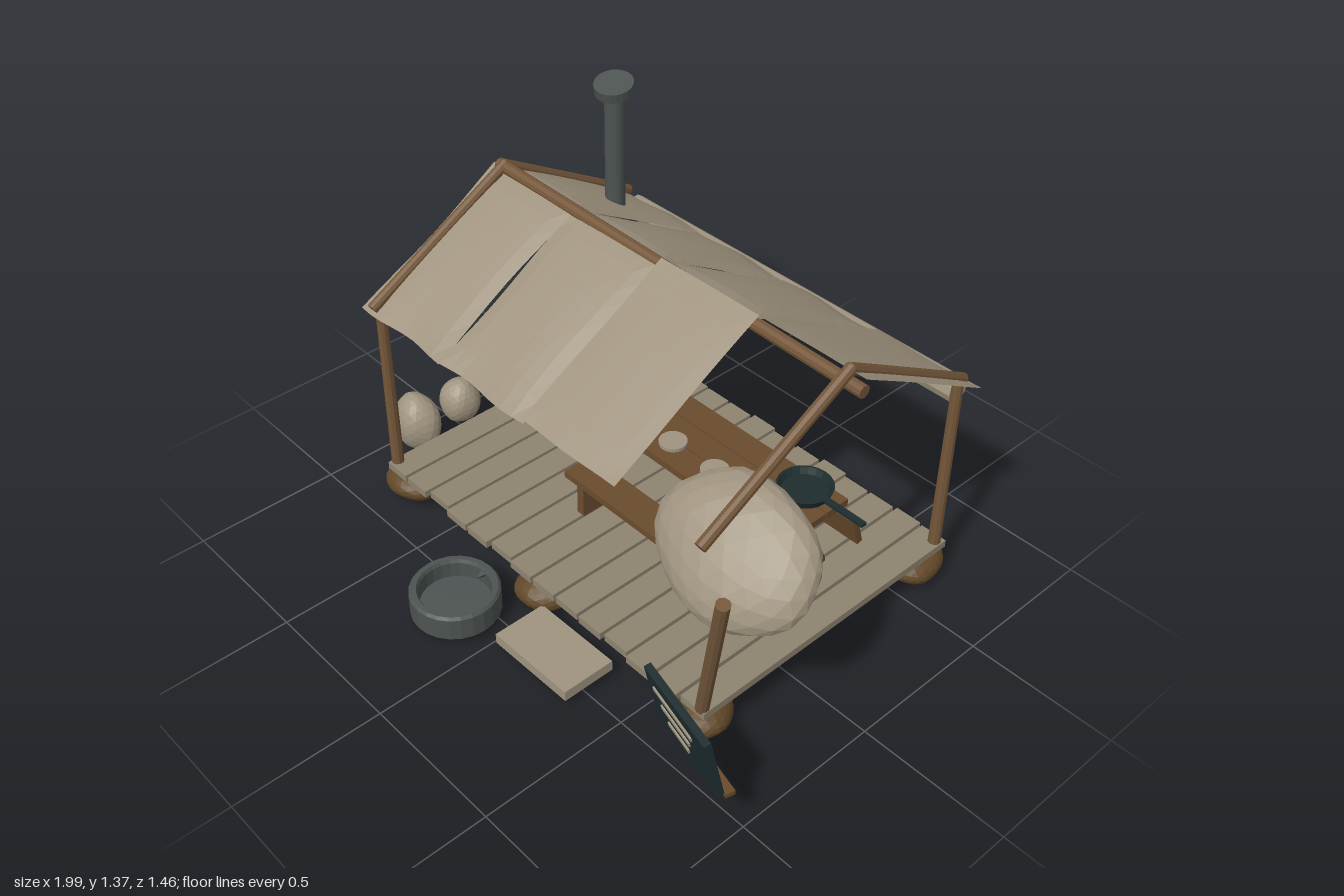
import * as THREE from 'three';

const mat = (name, color, side = THREE.FrontSide) => {
  const m = new THREE.MeshStandardMaterial({ color, side, flatShading: true });
  m.name = name;
  return m;
};

export function createModel() {
  const root = new THREE.Group();
  root.name = 'shelter';
  const canvas = mat('canvas', 0xa09480, THREE.DoubleSide);
  const plankWood = mat('weatheredPlank', 0x8f8471);
  const logWood = mat('logWood', 0x74573a);
  const boardWood = mat('boardWood', 0x6a4c2e);
  const stone = mat('brownStone', 0x614828);
  const steel = mat('steel', 0x4d5452);
  const iron = mat('darkIron', 0x1e2d2f);

  const add = (name, geo, material, pos = [0, 0, 0], rot = [0, 0, 0], parent = root) => {
    const m = new THREE.Mesh(geo, material);
    m.name = name;
    m.position.set(...pos);
    m.rotation.set(...rot);
    parent.add(m);
    return m;
  };
  const box = (name, material, size, pos, rot, parent) =>
    add(name, new THREE.BoxGeometry(...size), material, pos, rot, parent);
  const disc = (name, material, r, h, pos, rot, parent) =>
    add(name, new THREE.CylinderGeometry(r, r, h, 20), material, pos, rot, parent);

  // Round pole between two points
  const pole = (name, a, b, r, material = logWood, r2 = r) => {
    const p = new THREE.Vector3(...a), q = new THREE.Vector3(...b);
    const d = q.clone().sub(p);
    const m = add(name, new THREE.CylinderGeometry(r2, r, d.length(), 10), material);
    m.position.copy(p).add(q).multiplyScalar(0.5);
    m.quaternion.setFromUnitVectors(new THREE.Vector3(0, 1, 0), d.normalize());
    return m;
  };

  // Lumpy faceted ellipsoid
  const lump = (name, material, radii, pos, rot, seed = 0, rough = 0.05) => {
    const g = new THREE.IcosahedronGeometry(1, 3);
    const p = g.attributes.position;
    for (let i = 0; i < p.count; i++) {
      const x = p.getX(i), y = p.getY(i), z = p.getZ(i);
      const k = 1 + rough * Math.sin(3 * x + seed) * Math.cos(4 * z + 2 * y + seed * 2);
      p.setXYZ(i, x * k * radii[0], y * k * radii[1], z * k * radii[2]);
    }
    g.computeVertexNormals();
    return add(name, g, material, pos, rot);
  };

  // Deck planks on two logs and six footing stones
  const pitch = 1.515 / 14;
  for (let i = 0; i < 14; i++) {
    box('deckPlank', plankWood, [pitch - 0.011, 0.026, 1.08 + 0.012 * Math.sin(i * 2.3)],
      [-0.785 + pitch * (i + 0.5), 0.132, -0.145 + 0.004 * Math.cos(i * 1.7)]);
  }
  for (const z of [0.33, -0.615]) {
    pole('deckBeam', [-0.76, 0.095, z], [0.7, 0.095, z], 0.025);
    [-0.73, -0.03, 0.66].forEach((x, i) =>
      lump('footingStone', stone, [0.105, 0.053, 0.092], [x, 0.064, z], [0, i, 0], i * 1.7 + z));
  }

  // Posts, the front left-hand one leaning and snapped off
  for (const [x, z] of [[-0.765, 0.37], [-0.765, -0.655], [0.7, -0.655]])
    pole('post', [x, 0.14, z], [x, 0.79, z], 0.021, logWood, 0.018);
  pole('brokenPost', [0.7, 0.14, 0.37], [0.82, 0.68, 0.43], 0.022);

  // Rafters and ridge
  for (const x of [-0.765, 0.7]) {
    pole('frontRafter', [x, 0.777, 0.4], [x, 1.085, -0.15], 0.019);
    pole('backRafter', [x, 0.78, -0.675], [x, 1.085, -0.14], 0.019);
  }
  pole('ridgePole', [-0.79, 1.075, -0.145], [0.755, 1.035, -0.145], 0.021);

  // Canvas sheet hung from ridge to eave, puffed in the middle and pinched at the sides
  const sheet = (x0, x1, zEave, puff, seed) => {
    const n = 8;
    const g = new THREE.PlaneGeometry(1, 1, n, n);
    const p = g.attributes.position;
    for (let i = 0; i < p.count; i++) {
      const u = p.getX(i) + 0.5, v = 0.5 - p.getY(i);
      const edge = 2 * u - 1;
      const waist = 1 + 0.02 - 0.07 * puff * Math.sin(Math.PI * v) * Math.abs(Math.sin(2.5 * v + seed));
      const x = (x0 + x1) / 2 + edge * waist * (x1 - x0) / 2;
      const z = -0.145 + (zEave + 0.145) * v + 0.01 * puff * Math.sin(7 * u + seed) * (v - 0.2);
      const lift = puff * (0.024 * Math.pow(Math.sin(Math.PI * u) * Math.sin(Math.PI * v), 0.5) - 0.016);
      p.setXYZ(i, x, 1.086 - 0.312 * v + lift, z);
    }
    g.computeVertexNormals();
    return add(zEave > 0 ? 'frontCanvas' : 'backCanvas', g, canvas);
  };
  const seams = [-0.815, -0.42, -0.03, 0.36, 0.755];
  for (let i = 0; i < 4; i++) {
    sheet(seams[i], seams[i + 1], -0.69, i === 3 ? 0.4 : 1, i * 1.3);
    if (i < 3) sheet(seams[i], seams[i + 1], 0.4, i === 2 ? 0.3 : 1, i * 1.9 + 0.6);
  }
  // Rolled canvas along the back eave and the loose bundle at the open corner
  pole('canvasRoll', [-0.745, 0.717, -0.69], [0.68, 0.717, -0.69], 0.043, canvas);
  const bundle = lump('canvasBundle', canvas, [0.262, 0.1, 0.21], [0.685, 0.66, 0.24], [0, 0, 0], 0.8, 0.04);
  bundle.rotation.set(0.78, 0, -0.18, 'ZXY');

  // Stove with door, pot, flue and crooked cap
  box('stoveBody', steel, [0.25, 0.24, 0.215], [-0.545, 0.265, -0.435]);
  box('stoveDoor', iron, [0.226, 0.11, 0.02], [-0.545, 0.283, -0.318]);
  disc('stovePot', iron, 0.07, 0.045, [-0.47, 0.407, -0.452]);
  disc('flue', steel, 0.033, 0.95, [-0.545, 0.86, -0.42]);
  disc('flueCap', steel, 0.064, 0.032, [-0.545, 1.345, -0.418], [0.2, 0, -0.09]);

  // Trestle table
  for (let i = 0; i < 3; i++)
    box('tableBoard', boardWood, [0.87, 0.025, 0.094], [0.15, 0.418, -0.1 - i * 0.098]);
  for (const x of [-0.21, 0.515]) {
    for (const s of [-1, 1])
      pole('tableLeg', [x, 0.145, -0.197 + s * 0.128], [x, 0.41, -0.197 + s * 0.012], 0.016, boardWood);
  }
  // Upright bench and the one tipped on its side
  box('benchSeat', boardWood, [0.74, 0.024, 0.115], [0.15, 0.272, 0.037]);
  for (const x of [-0.15, 0.45])
    box('benchLeg', boardWood, [0.03, 0.12, 0.1], [x, 0.203, 0.04]);
  box('tippedBench', boardWood, [0.72, 0.112, 0.022], [0.19, 0.204, -0.455], [0.28, 0, 0]);

  // Plates and frying pan
  for (let i = 0; i < 4; i++)
    disc('plate', canvas, 0.046, 0.012, [-0.145 + i * 0.185, 0.437, -0.135]);
  const panProfile = [[0, 0], [0.078, 0], [0.09, 0.028], [0.083, 0.028], [0.073, 0.008], [0, 0.008]];
  const lathe = (pts, n) => new THREE.LatheGeometry(pts.map(q => new THREE.Vector2(...q)), n);
  add('pan', lathe(panProfile, 20), iron, [0.475, 0.432, -0.27]);
  box('panHandle', iron, [0.16, 0.01, 0.022], [0.63, 0.453, -0.27]);

  // Wash tub with a small hook, and the step
  const tubProfile = [[0, 0], [0.135, 0], [0.144, 0.01], [0.144, 0.087], [0.136, 0.096],
    [0.12, 0.096], [0.114, 0.085], [0.114, 0.03], [0, 0.03]];
  add('tub', lathe(tubProfile, 24), steel, [-0.18, 0.025, 0.58]);
  add('tubHook', new THREE.ConeGeometry(0.018, 0.04, 3), steel, [-0.18, 0.1, 0.478], [Math.PI / 2, 0, 0]);
  box('step', canvas, [0.325, 0.036, 0.185], [0.185, 0.051, 0.49], [0, 0, 0.02]);

  // Sacks beside the deck
  lump('largeSack', canvas, [0.09, 0.108, 0.077], [-0.91, 0.13, 0.183], [0, 0, 0.1], 2.2, 0.04);
  lump('smallSack', canvas, [0.073, 0.085, 0.073], [-0.925, 0.115, -0.012], [0, 0, 0], 4.1, 0.04);

  // Leaning notice board with ledge and chalk strokes
  const sign = new THREE.Group();
  sign.name = 'noticeBoard';
  sign.position.set(0.828, 0.178, 0.508);
  sign.rotation.y = -0.24;
  root.add(sign);
  box('signLedge', boardWood, [0.335, 0.015, 0.03], [0, 0, 0], [0, 0, 0], sign);
  const board = box('signPanel', iron, [0.32, 0.232, 0.022], [0, 0.117, 0.05], [0.21, 0, 0], sign);
  [0.2, 0.15, 0.11].forEach((w, i) =>
    box('chalkStroke', canvas, [w, 0.016, 0.006], [-0.02, 0.06 - i * 0.055, 0.013], [0, 0, -0.03], board));

  return root;
}
